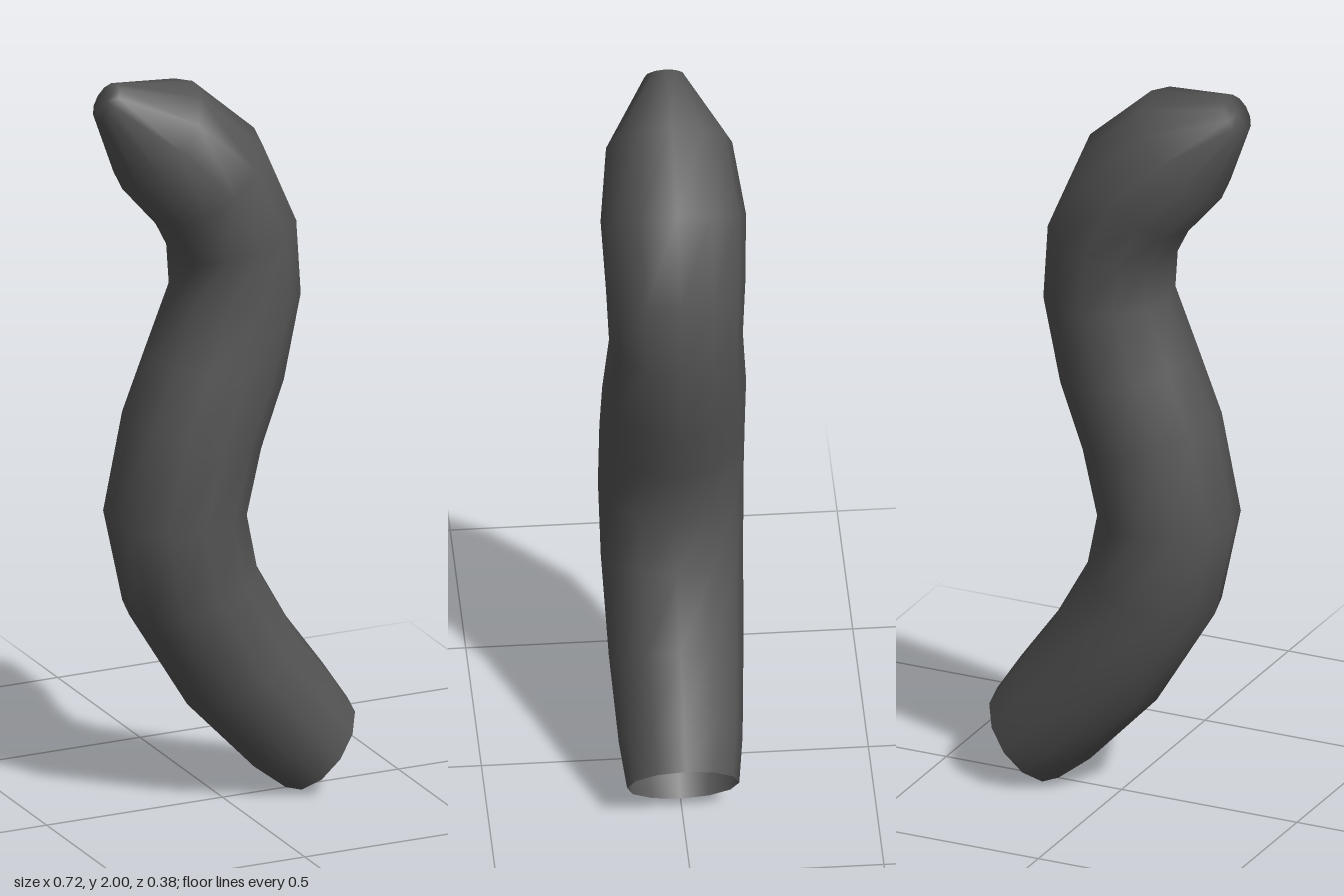
import * as THREE from 'three';

// Cross-sections from the open root to the tip:
// inner x, y, outer x, y (in the z = 0 plane) and half width along z
const RINGS = [
  [0.18, 0.0, 0.355, 0.22, 0.145],
  [0.09, 0.07, 0.285, 0.325, 0.16],
  [-0.10, 0.27, 0.18, 0.47, 0.174],
  [-0.265, 0.54, 0.08, 0.65, 0.184],
  [-0.32, 0.80, 0.05, 0.80, 0.188],
  [-0.265, 1.07, 0.09, 0.97, 0.188],
  [-0.20, 1.235, 0.155, 1.15, 0.186],
  [-0.135, 1.40, 0.205, 1.38, 0.173],
  [-0.14, 1.50, 0.19, 1.59, 0.18],
  [-0.19, 1.60, 0.09, 1.82, 0.188],
  [-0.285, 1.71, -0.085, 1.975, 0.163],
  [-0.36, 1.91, -0.30, 2.0, 0.052],
];
const SIDES = 12;

// Skin the rings into a smooth tube, closed by a fan at the tip
function loftGeometry() {
  const positions = [];
  const index = [];
  for (const [x0, y0, x1, y1, r] of RINGS) {
    for (let s = 0; s < SIDES; s++) {
      const t = (s / SIDES) * Math.PI * 2;
      const k = (1 + Math.cos(t)) / 2;
      positions.push(x0 + (x1 - x0) * k, y0 + (y1 - y0) * k, r * Math.sin(t));
    }
  }
  const [x0, y0, x1, y1] = RINGS[RINGS.length - 1];
  positions.push((x0 + x1) / 2, (y0 + y1) / 2, 0);
  const tip = RINGS.length * SIDES;

  for (let i = 0; i < RINGS.length; i++) {
    for (let s = 0; s < SIDES; s++) {
      const a = i * SIDES + s;
      const b = i * SIDES + ((s + 1) % SIDES);
      if (i === RINGS.length - 1) index.push(a, tip, b);
      else index.push(a, a + SIDES, b, b, a + SIDES, b + SIDES);
    }
  }
  const geometry = new THREE.BufferGeometry();
  geometry.setAttribute('position', new THREE.Float32BufferAttribute(positions, 3));
  geometry.setIndex(index);
  geometry.computeVertexNormals();
  return geometry;
}

export function createModel() {
  const group = new THREE.Group();
  group.name = 'curvedTube';
  // The root end is open, so the inside shows too
  const material = new THREE.MeshStandardMaterial({ color: 0x555555, side: THREE.DoubleSide });
  const body = new THREE.Mesh(loftGeometry(), material);
  body.name = 'tubeBody';
  group.add(body);
  return group;
}
